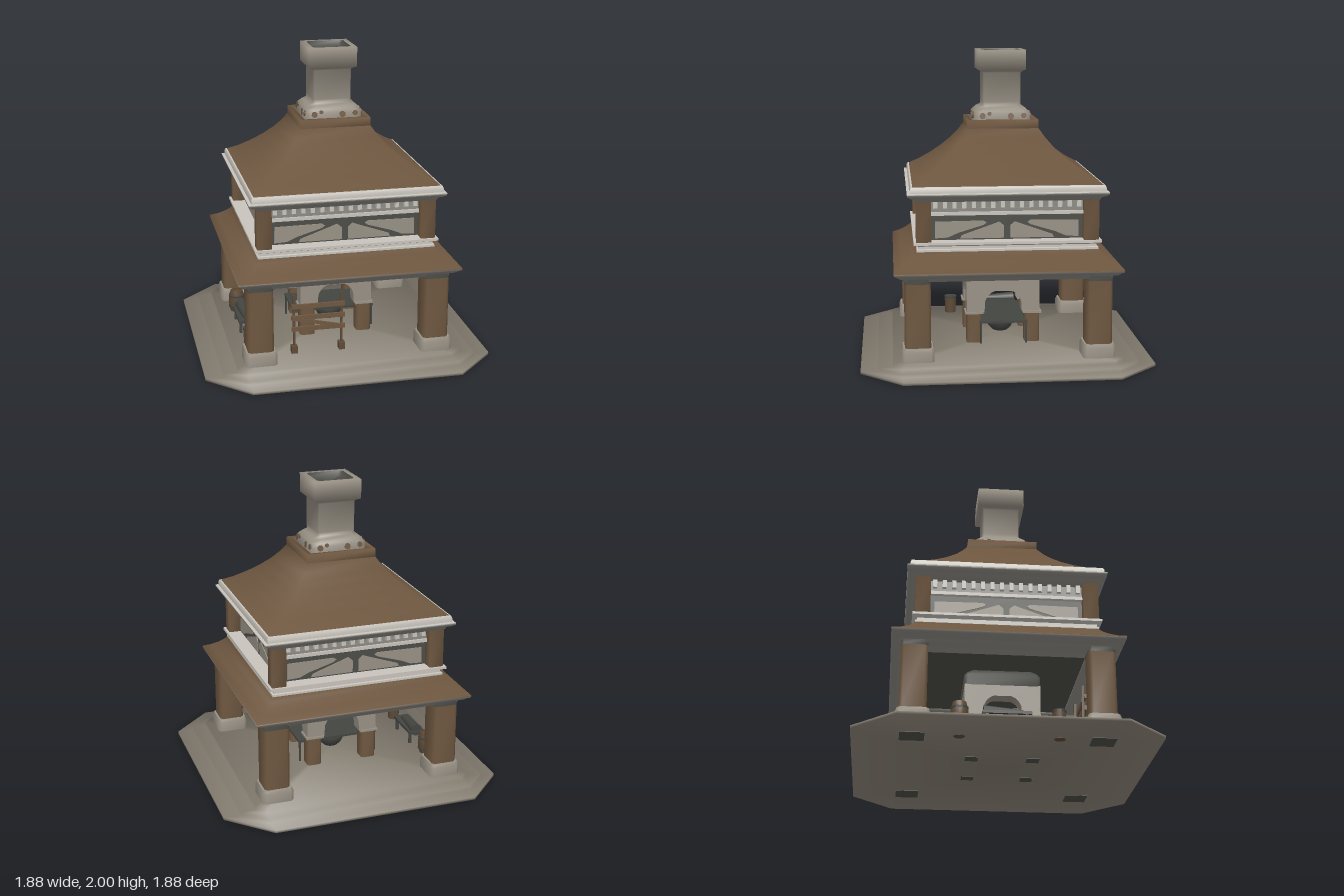
import * as THREE from 'three';
import { toCreasedNormals } from 'three/addons/utils/BufferGeometryUtils.js';

const mat = (name, color) => {
  const m = new THREE.MeshStandardMaterial({ color });
  m.name = name;
  return m;
};

// Square cross-sections [half width, y, corner chamfer] joined from bottom to top, smooth by default
function loft(rings, crease = Math.PI) {
  const pos = [], idx = [];
  for (const [h, y, c = 0] of rings) {
    const k = h - c;
    for (const [x, z] of [[-k, h], [k, h], [h, k], [h, -k], [k, -h], [-k, -h], [-h, -k], [-h, k]]) pos.push(x, y, z);
  }
  for (let i = 0; i < rings.length - 1; i++) {
    for (let j = 0; j < 8; j++) {
      const a = i * 8 + j, b = i * 8 + (j + 1) % 8;
      idx.push(a, b, b + 8, a, b + 8, a + 8);
    }
  }
  const g = new THREE.BufferGeometry();
  g.setAttribute('position', new THREE.Float32BufferAttribute(pos, 3));
  g.setIndex(idx);
  return toCreasedNormals(g, crease);
}

// Round profile [radius, y] turned about the vertical axis
const turned = (profile) =>
  toCreasedNormals(new THREE.LatheGeometry(profile.map(([r, y]) => new THREE.Vector2(r, y)), 16), 0.7);

export function createModel() {
  const root = new THREE.Group();
  root.name = 'forgePavilion';
  const brown = mat('brown clay', 0x6e5740);
  const wood = mat('dark wood', 0x5e4a36);
  const stone = mat('paving stone', 0x837c70);
  const pale = mat('pale stone', 0x979084);
  const trim = mat('light trim', 0xc8c4bc);
  const grey = mat('cornice grey', 0x8b8983);
  const dark = mat('dark plaster', 0x4c4d47);
  const metal = mat('dark metal', 0x434541);

  const add = (name, geo, material, x = 0, y = 0, z = 0, parent = root) => {
    const m = new THREE.Mesh(geo, material);
    m.name = name;
    m.position.set(x, y, z);
    parent.add(m);
    return m;
  };
  const box = (name, w, h, d, material, x, y, z, parent) =>
    add(name, new THREE.BoxGeometry(w, h, d), material, x, y, z, parent);
  const corners = (d, fn) => { for (const sx of [-1, 1]) for (const sz of [-1, 1]) fn(sx * d, sz * d); };
  const fourSides = (name, fn) => {
    for (let i = 0; i < 4; i++) {
      const side = new THREE.Group();
      side.name = name;
      side.rotation.y = i * Math.PI / 2;
      root.add(side);
      fn(side);
    }
  };

  // Stepped octagonal floor
  add('floorSteps', loft([
    [0, 0.003], [0.94, 0.003, 0.265], [0.94, 0.02, 0.265], [0.83, 0.02, 0.14], [0.83, 0.042, 0.14],
    [0.735, 0.042, 0.06], [0.735, 0.065, 0.06], [0, 0.065],
  ]), stone);

  // Ground-floor corner pillars, with dark footings under the floor
  corners(0.577, (x, z) => {
    box('pillarFooting', 0.15, 0.004, 0.15, dark, x, 0.002, z);
    add('pillarBase', loft([[0.103, 0.06, 0.02], [0.103, 0.13, 0.02], [0.096, 0.153, 0.02], [0, 0.153]], 0.9), pale, x, 0, z);
    add('pillar', loft([[0.083, 0.15, 0.018], [0.083, 0.565, 0.018]]), brown, x, 0, z);
    add('pillarTop', loft([[0.084, 0.565, 0.018], [0.084, 0.605, 0.018]]), dark, x, 0, z);
  });

  // Lower cornice, ceiling and skirt roof
  add('ceiling', loft([[0, 0.6], [0.5, 0.6]]), dark);
  add('lowerCornice', loft([
    [0.5, 0.6], [0.5, 0.585], [0.655, 0.58], [0.66, 0.598], [0.685, 0.605], [0.71, 0.625], [0.722, 0.63], [0.722, 0.645],
  ]), grey);
  add('lowerRoof', loft([[0.725, 0.64], [0.722, 0.647], [0.675, 0.67], [0.63, 0.7], [0.595, 0.73], [0.575, 0.755]]), brown);
  add('floorTrim', loft([
    [0.57, 0.75], [0.578, 0.755], [0.578, 0.768], [0.567, 0.772], [0.567, 0.788], [0.585, 0.796],
    [0.597, 0.8], [0.597, 0.816], [0, 0.816],
  ], 1), trim);

  // Upper storey
  add('upperWall', loft([[0.5, 0.81], [0.5, 1.09]], 0.6), dark);
  corners(0.533, (x, z) => add('upperPillar', loft([[0.048, 0.81, 0.006], [0.048, 1.08, 0.006]]), brown, x, 0, z));
  const patches = [
    [[0.46, 0.828], [0.457, 0.935], [0.15, 0.938], [0.13, 0.925], [0.15, 0.91], [0.31, 0.862], [0.38, 0.832]],
    [[0.02, 0.825], [0.02, 0.905], [0.05, 0.93], [0.09, 0.915], [0.29, 0.845], [0.3, 0.825]],
  ];
  fourSides('wallDecoration', (side) => {
    for (const s of [-1, 1]) {
      for (const p of patches) {
        const shape = new THREE.Shape(p.map(([x, y]) => new THREE.Vector2(s * x, y)));
        add('wallPanel', new THREE.ExtrudeGeometry(shape, { depth: 0.007, bevelEnabled: false }), pale, 0, 0, 0.499, side);
      }
    }
    box('wallLedge', 0.98, 0.022, 0.035, trim, 0, 0.988, 0.51, side);
    box('friezeBand', 0.98, 0.022, 0.02, grey, 0, 1.01, 0.505, side);
    box('frieze', 0.98, 0.06, 0.008, grey, 0, 1.05, 0.502, side);
    for (let i = 0; i < 16; i++) {
      box('dentil', 0.026, 0.052, 0.035, trim, -0.4575 + i * 0.061, 1.05, 0.517, side);
    }
  });

  // Upper cornice and main roof
  add('upperCornice', loft([[0.49, 1.078], [0.585, 1.074], [0.59, 1.09], [0.615, 1.1], [0.635, 1.115], [0.635, 1.124]]), grey);
  add('eavesTrim', loft([
    [0.635, 1.122], [0.637, 1.128], [0.618, 1.132], [0.618, 1.155], [0.612, 1.17], [0.595, 1.173],
  ], 1), trim);
  add('mainRoof', loft([
    [0.605, 1.17], [0.53, 1.212], [0.45, 1.268], [0.38, 1.325], [0.317, 1.385], [0.27, 1.44], [0.232, 1.495],
  ]), brown);
  add('roofCollar', loft([[0.232, 1.492], [0.232, 1.55], [0.2, 1.55], [0.2, 1.52], [0, 1.52]]), brown);

  // Chimney with a bulging foot and a sooty flue
  add('chimney', loft([
    [0.185, 1.52, 0.03], [0.188, 1.57, 0.035], [0.177, 1.6, 0.04], [0.155, 1.622, 0.04], [0.127, 1.635, 0.02],
    [0.125, 1.66, 0.008], [0.125, 1.85, 0.008], [0.135, 1.862, 0.005], [0.158, 1.872, 0.003], [0.158, 2, 0.003],
    [0.125, 2, 0.02],
  ]), pale);
  add('chimneyFlue', loft([[0.125, 2, 0.02], [0.115, 1.97, 0.02], [0, 1.965]]), dark);
  fourSides('chimneyPatches', (side) => {
    for (const [x, y, r] of [[-0.13, 1.573, 0.02], [-0.085, 1.588, 0.013], [0.055, 1.57, 0.021], [0.14, 1.575, 0.018]]) {
      const spot = add('clayPatch', new THREE.CylinderGeometry(r, r, 0.008, 9), brown, x, y, 0.186, side);
      spot.rotation.x = Math.PI / 2 - 0.14;
    }
  });

  // Furnace hood standing on four posts
  add('hood', loft([[0.245, 0.485, 0.02], [0.245, 0.555, 0.02], [0.225, 0.585, 0.02], [0.2, 0.605, 0.02]]), dark);
  add('hoodThroat', loft([[0, 0.48], [0.2, 0.48]]), dark);
  const arch = new THREE.Shape();
  arch.moveTo(-0.243, 0.27);
  arch.lineTo(-0.125, 0.27);
  arch.lineTo(-0.12, 0.345);
  arch.quadraticCurveTo(-0.1, 0.4, -0.055, 0.413);
  arch.lineTo(0.055, 0.413);
  arch.quadraticCurveTo(0.1, 0.4, 0.12, 0.345);
  arch.lineTo(0.125, 0.27);
  arch.lineTo(0.243, 0.27);
  arch.lineTo(0.243, 0.49);
  arch.lineTo(-0.243, 0.49);
  const archGeo = new THREE.ExtrudeGeometry(arch, { depth: 0.1, bevelEnabled: false, curveSegments: 6 });
  fourSides('hoodSide', (side) => add('hoodArch', archGeo, pale, 0, 0, 0.143, side));
  corners(0.193, (x, z) => {
    box('postFooting', 0.08, 0.004, 0.08, dark, x, 0.002, z);
    box('postCap', 0.122, 0.014, 0.122, pale, x, 0.268, z);
    add('hoodPost', loft([[0.05, 0.06, 0.015], [0.05, 0.265, 0.015]]), brown, x, 0, z);
  });

  // Central hearth: thin table with a hanging fire pot
  box('hearthTable', 0.56, 0.014, 0.32, metal, 0, 0.211, 0);
  for (const x of [-0.27, 0.27]) for (const z of [-0.15, 0.15]) box('tableLeg', 0.012, 0.145, 0.012, metal, x, 0.135, z);
  add('firePot', turned([[0, 0.085], [0.05, 0.09], [0.08, 0.12], [0.093, 0.16], [0.085, 0.195], [0.08, 0.208]]), metal);

  // Plank fence
  const fence = new THREE.Group();
  fence.name = 'plankFence';
  fence.position.set(-0.178, 0, 0.5);
  root.add(fence);
  for (const x of [-0.158, 0.158]) {
    box('fencePost', 0.014, 0.4, 0.016, wood, x, 0.262, 0, fence);
    box('fenceFoot', 0.04, 0.05, 0.05, wood, x, 0.088, 0, fence);
  }
  for (const y of [0.387, 0.31, 0.232]) box('fencePlank', 0.355, 0.03, 0.014, brown, 0, y, 0.014, fence);
  box('fenceBrace', 0.33, 0.022, 0.012, brown, 0, 0.27, 0.02, fence).rotation.z = -0.22;

  // Barrel, workbench and bucket along one side
  add('barrel', turned([
    [0, 0.062], [0.042, 0.062], [0.052, 0.105], [0.054, 0.14], [0.052, 0.175], [0.042, 0.217],
    [0.036, 0.217], [0.036, 0.205], [0, 0.205],
  ]), wood, -0.6, 0, -0.295);
  for (const y of [0.1, 0.178]) add('barrelHoop', new THREE.CylinderGeometry(0.055, 0.055, 0.012, 16), metal, -0.6, y, -0.295);
  add('bucket', new THREE.CylinderGeometry(0.042, 0.038, 0.115, 16), wood, -0.6, 0.122, 0.31);
  add('bucketRim', new THREE.CylinderGeometry(0.044, 0.044, 0.014, 16), metal, -0.6, 0.178, 0.31);
  for (const z of [-0.295, 0.31]) add('roundFooting', new THREE.CylinderGeometry(0.035, 0.035, 0.004, 16), wood, -0.6, 0.002, z);
  box('benchTop', 0.11, 0.018, 0.3, metal, -0.59, 0.15, -0.01);
  for (const x of [-0.63, -0.55]) for (const z of [-0.13, 0.11]) box('benchLeg', 0.018, 0.085, 0.018, metal, x, 0.103, z);
  add('bellows', new THREE.CylinderGeometry(0.02, 0.042, 0.24, 12), metal, -0.59, 0.165, -0.03).rotation.x = Math.PI / 2;

  return root;
}
